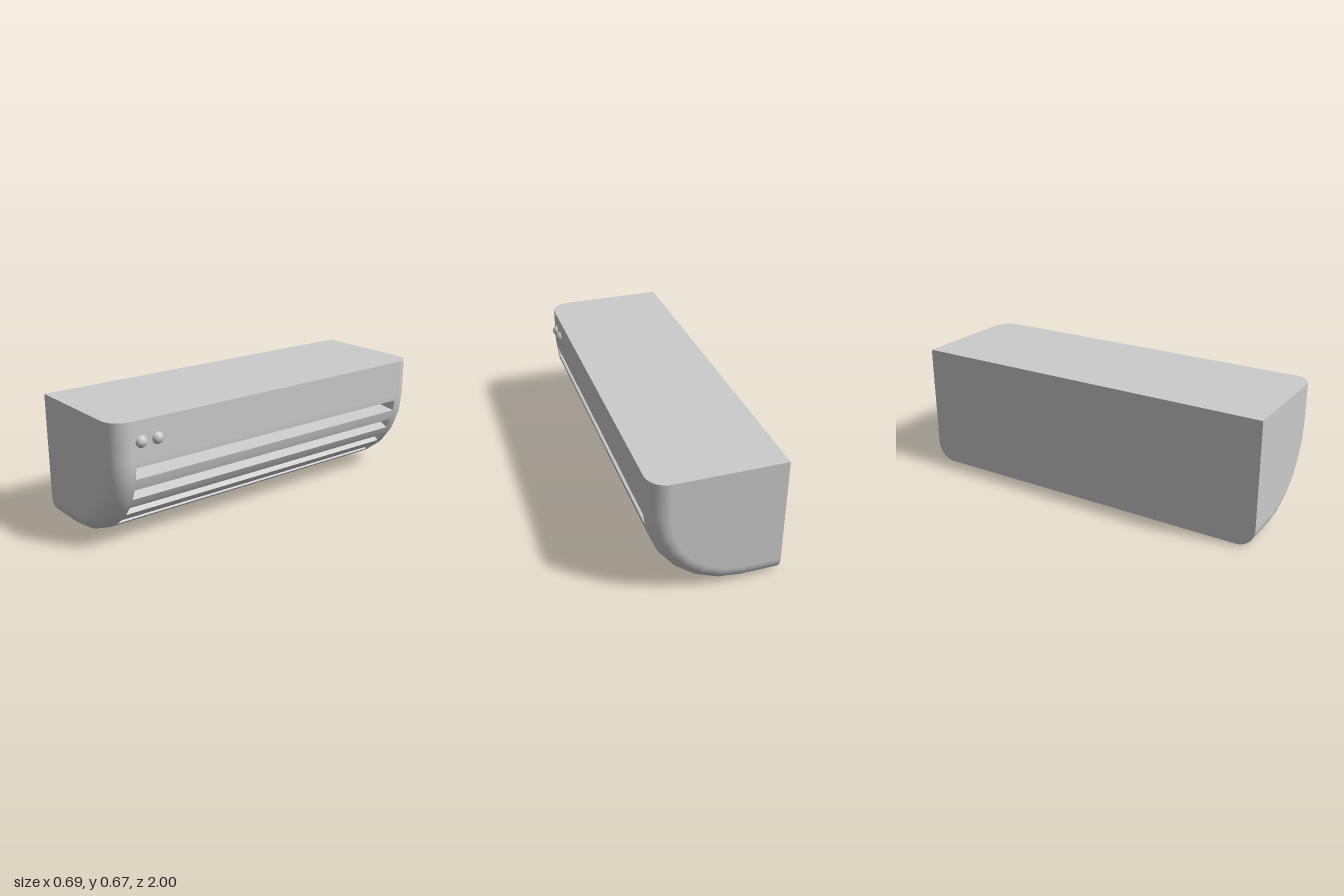
import * as THREE from 'three';

const BACK = -0.345, TOP = 0.667, FRONT = 0.32, R = 0.467; // box limits, belly radius
const CX = FRONT - R, CY = R;                             // belly arc centre
const STEP = Math.PI / 12, FACETS = 6;
const FILLET = 0.1, SLOT_Z = 0.88, SLOT_DEPTH = 0.15;

const material = new THREE.MeshStandardMaterial({ color: 0xcccccc });

// Cross-section inset by d: front face, belly facets split at the slot edges, underside
function profile(d) {
  const r = R - d;
  const at = (k) => [CX + r * Math.cos(k * STEP), CY - r * Math.sin(k * STEP)];
  const pts = [{ x: FRONT - d, y: TOP, nx: 1, ny: 0 }];
  for (let k = 0; k <= FACETS; k++) {
    const a = at(k), b = at(k + 1);
    for (const f of k < FACETS ? [0, 0.25, 0.75] : [0]) {
      const ang = (k + f) * STEP;
      pts.push({
        x: a[0] + (b[0] - a[0]) * f, y: a[1] + (b[1] - a[1]) * f,
        nx: Math.cos(ang), ny: -Math.sin(ang), slot: f === 0.25,
      });
    }
  }
  pts.push({ x: BACK, y: d, nx: 0, ny: -1 });
  return pts;
}

// Stations along z: rounded ends plus the two slot ends
function stations() {
  const half = [{ z: SLOT_Z, d: 0, t: 0 }];
  const n = 10;
  for (let i = 0; i <= n; i++) {
    const t = (i / n) * Math.PI / 2;
    half.push({ z: 1 - FILLET + FILLET * Math.sin(t), d: FILLET * (1 - Math.cos(t)), t });
  }
  const mirrored = half.map((s) => ({ z: -s.z, d: s.d, t: -s.t })).reverse();
  return [...mirrored, ...half];
}

// Curved casing with openings left for the slots
function casing(rings) {
  const pos = [], nor = [], idx = [];
  const sections = rings.map((s) => profile(s.d));
  const m = sections[0].length;
  rings.forEach((s, i) => sections[i].forEach((p) => {
    const c = Math.cos(s.t);
    pos.push(p.x, p.y, s.z);
    nor.push(p.nx * c, p.ny * c, Math.sin(s.t));
  }));
  for (let i = 0; i < rings.length - 1; i++) {
    const middle = rings[i].z === -SLOT_Z;
    for (let j = 0; j < m - 1; j++) {
      if (middle && sections[i][j].slot) continue;
      const a = i * m + j, b = a + 1, c = a + m, e = c + 1;
      idx.push(a, c, b, b, c, e);
    }
  }
  const g = new THREE.BufferGeometry();
  g.setAttribute('position', new THREE.Float32BufferAttribute(pos, 3));
  g.setAttribute('normal', new THREE.Float32BufferAttribute(nor, 3));
  // Orient the triangles outward
  g.setIndex(flipIfNeeded(idx, pos, nor));
  return g;
}

function flipIfNeeded(idx, pos, nor) {
  const v = (k) => new THREE.Vector3().fromArray(pos, 3 * idx[k]);
  const n = v(1).sub(v(0)).cross(v(2).sub(v(0)));
  return n.dot(new THREE.Vector3().fromArray(nor, 3 * idx[0])) < 0 ? idx.reverse() : idx;
}

// Flat convex panels, each { pts, n } with n the way it faces
function panels(list) {
  const pos = [], nor = [], idx = [];
  for (const { pts, n } of list) {
    const base = pos.length / 3, tri = [];
    pts.forEach((p) => { pos.push(...p); nor.push(...n); });
    for (let i = 1; i < pts.length - 1; i++) tri.push(base, base + i, base + i + 1);
    idx.push(...flipIfNeeded(tri, pos, nor));
  }
  const g = new THREE.BufferGeometry();
  g.setAttribute('position', new THREE.Float32BufferAttribute(pos, 3));
  g.setAttribute('normal', new THREE.Float32BufferAttribute(nor, 3));
  g.setIndex(idx);
  return g;
}

// Walls and floor of the recess in belly facet k
function recess(k) {
  const a = (k + 0.5) * STEP, c = Math.cos(a), s = Math.sin(a);
  const outer = R * Math.cos(STEP / 2), inner = outer - SLOT_DEPTH;
  const w = R * Math.sin(STEP / 2) / 2;
  const P = (r, u, z) => [CX + r * c - u * s, CY - r * s - u * c, z * SLOT_Z];
  const list = [{ pts: [P(inner, -w, -1), P(inner, w, -1), P(inner, w, 1), P(inner, -w, 1)], n: [c, -s, 0] }];
  for (const e of [-1, 1]) {
    list.push({
      pts: [P(inner, e * w, -1), P(outer, e * w, -1), P(outer, e * w, 1), P(inner, e * w, 1)],
      n: [e * s, e * c, 0],
    });
    list.push({
      pts: [P(inner, -w, e), P(outer, -w, e), P(outer, w, e), P(inner, w, e)],
      n: [0, 0, -e],
    });
  }
  return panels(list);
}

export function createModel() {
  const model = new THREE.Group();
  const add = (name, geometry) => {
    const mesh = new THREE.Mesh(geometry, material);
    mesh.name = name;
    model.add(mesh);
    return mesh;
  };
  const rings = stations();

  add('casing', casing(rings));

  // Flat top, wall side and ends
  add('topPanel', panels([{
    pts: [[BACK, TOP, -1], ...rings.map((s) => [FRONT - s.d, TOP, s.z]), [BACK, TOP, 1]], n: [0, 1, 0],
  }]));
  add('backPanel', panels([{
    pts: [[BACK, TOP, -1], ...rings.map((s) => [BACK, s.d, s.z]), [BACK, TOP, 1]], n: [-1, 0, 0],
  }]));
  for (const e of [1, -1]) {
    add(e > 0 ? 'frontEndPanel' : 'rearEndPanel', panels([{
      pts: [[BACK, TOP, e], ...profile(FILLET).map((p) => [p.x, p.y, e])], n: [0, 0, e],
    }]));
  }

  // Air vents around the belly
  for (let k = 0; k < FACETS; k++) add(`ventSlot${k + 1}`, recess(k));

  // Two round buttons
  [0.85, 0.76].forEach((z, i) => {
    add(`button${i + 1}`, new THREE.SphereGeometry(0.031, 24, 16)).position.set(0.314, 0.563, z);
  });
  return model;
}
